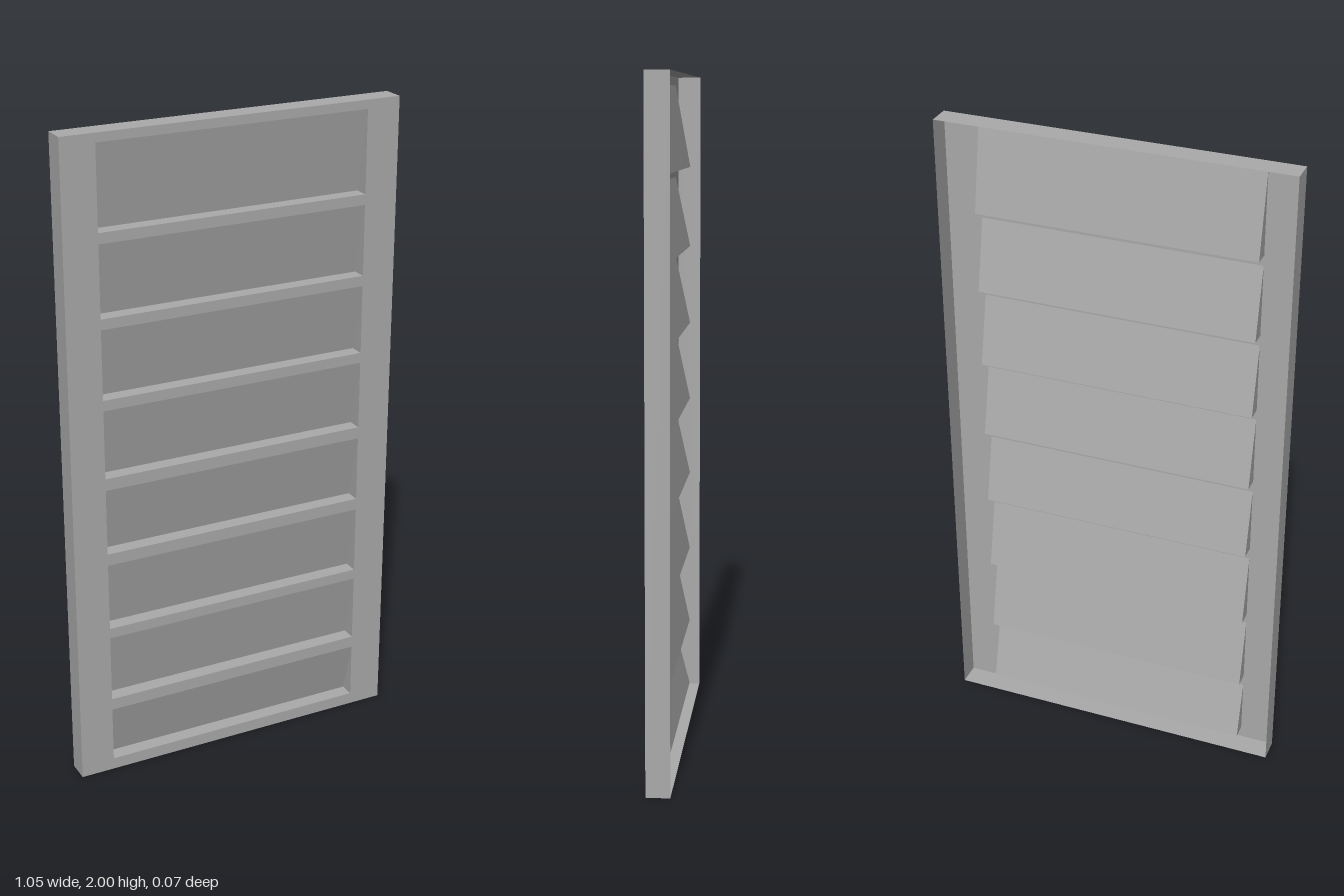
import * as THREE from 'three';

const HALF_W = 0.527, HEIGHT = 2, FRONT = 0.035, BACK = -0.035;
const SLOT_HALF = 0.422, SLOT_DEPTH = 0.046;

// bottom and top of each louvre opening
const SLOTS = [
  [0.037, 0.212], [0.249, 0.461], [0.493, 0.705], [0.742, 0.948],
  [0.985, 1.197], [1.229, 1.441], [1.473, 1.69], [1.722, 1.973],
];

const rectangle = (target, x, y0, y1) =>
  target.moveTo(-x, y0).lineTo(x, y0).lineTo(x, y1).lineTo(-x, y1).closePath();

// Pressed-in louvre: sloping back, flat ledge and two triangular cheeks
function louvreGeometry(y0, y1) {
  const z1 = FRONT - SLOT_DEPTH, x = SLOT_HALF;
  const tl = [-x, y1, FRONT], tr = [x, y1, FRONT];
  const fl = [-x, y0, FRONT], fr = [x, y0, FRONT];
  const bl = [-x, y0, z1], br = [x, y0, z1];
  const triangles = [
    bl, br, tr, bl, tr, tl, // sloping back
    fl, fr, br, fl, br, bl, // ledge
    fl, bl, tl, fr, tr, br, // cheeks
  ];
  const geometry = new THREE.BufferGeometry();
  geometry.setAttribute('position', new THREE.Float32BufferAttribute(triangles.flat(), 3));
  geometry.computeVertexNormals();
  return geometry;
}

export function createModel() {
  const model = new THREE.Group();
  model.name = 'louvredPanel';
  const metal = new THREE.MeshStandardMaterial({ color: 0xaaaaaa });
  metal.name = 'greySheetMetal';
  metal.side = THREE.DoubleSide;

  const add = (name, geometry) => {
    const mesh = new THREE.Mesh(geometry, metal);
    mesh.name = name;
    model.add(mesh);
    return mesh;
  };

  // Front sheet with openings
  const sheet = rectangle(new THREE.Shape(), HALF_W, 0, HEIGHT);
  for (const [y0, y1] of SLOTS) sheet.holes.push(rectangle(new THREE.Path(), SLOT_HALF, y0, y1));
  add('frontSheet', new THREE.ShapeGeometry(sheet)).position.z = FRONT;

  // Louvres
  SLOTS.forEach(([y0, y1], i) => add(`louvre${i + 1}`, louvreGeometry(y0, y1)));

  // Thin flanges folded back around the open rear
  const depth = FRONT - BACK;
  for (const [name, side] of [['leftFlange', 1], ['rightFlange', -1]]) {
    const flange = add(name, new THREE.PlaneGeometry(depth, HEIGHT));
    flange.rotation.y = side * Math.PI / 2;
    flange.position.set(side * HALF_W, HEIGHT / 2, 0);
  }
  for (const [name, y, turn] of [['topFlange', HEIGHT, -1], ['bottomFlange', 0, 1]]) {
    const flange = add(name, new THREE.PlaneGeometry(HALF_W * 2, depth));
    flange.rotation.x = turn * Math.PI / 2;
    flange.position.y = y;
  }
  return model;
}
